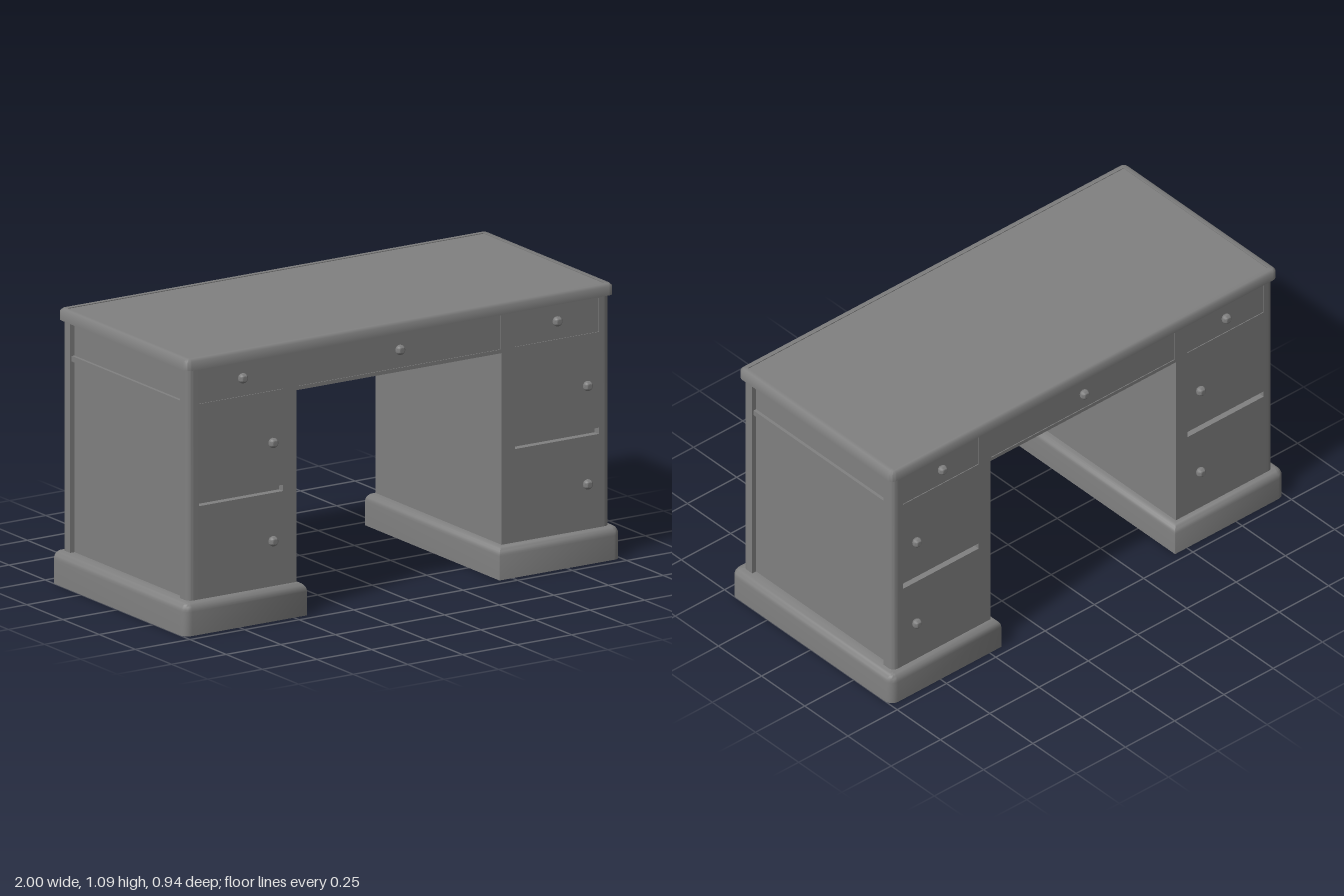
import * as THREE from 'three';
import { toCreasedNormals } from 'three/addons/utils/BufferGeometryUtils.js';

const grey = new THREE.MeshStandardMaterial({ color: 0x808080 });
const greyDouble = new THREE.MeshStandardMaterial({ color: 0x808080, side: THREE.DoubleSide });

function add(parent, name, geometry, material = grey) {
  const mesh = new THREE.Mesh(geometry, material);
  mesh.name = name;
  parent.add(mesh);
  return mesh;
}

// Box given by its limits on each axis
function box(parent, name, x0, x1, y0, y1, z0, z1) {
  const mesh = add(parent, name, new THREE.BoxGeometry(x1 - x0, y1 - y0, z1 - z0));
  mesh.position.set((x0 + x1) / 2, (y0 + y1) / 2, (z0 + z1) / 2);
  return mesh;
}

function rectPath(x0, x1, y0, y1) {
  return new THREE.Path([[x0, y0], [x1, y0], [x1, y1], [x0, y1]].map(p => new THREE.Vector2(...p)));
}

// Rounded rectangle in plan, with its own corner radius at the x0 and x1 ends
function ring(x0, x1, z, r0, r1, inset) {
  const points = [];
  const corners = [[1, -1, r1, -0.5], [1, 1, r1, 0], [-1, 1, r0, 0.5], [-1, -1, r0, 1]];
  for (const [sx, sz, radius, start] of corners) {
    const r = Math.max(radius - inset, 0.002);
    const cx = sx > 0 ? x1 - inset - r : x0 + inset + r;
    const cz = sz * (z - inset - r);
    for (let i = 0; i <= 6; i++) {
      const a = (start + i / 12) * Math.PI;
      points.push([cx + r * Math.cos(a), cz + r * Math.sin(a)]);
    }
  }
  return points;
}

// Surface through inset rings; profile is a list of [inset, y]
function loft(profile, ringAt, crease) {
  const positions = [], index = [];
  const n = ringAt(0).length;
  profile.forEach(([inset, y], k) => {
    for (const [x, z] of ringAt(inset)) positions.push(x, y, z);
    if (k === 0) return;
    for (let i = 0; i < n; i++) {
      const j = (i + 1) % n, a = (k - 1) * n, b = k * n;
      index.push(a + i, b + i, a + j, a + j, b + i, b + j);
    }
  });
  const g = new THREE.BufferGeometry();
  g.setAttribute('position', new THREE.Float32BufferAttribute(positions, 3));
  g.setIndex(index);
  return toCreasedNormals(g, crease);
}

// Hollow plinth shell with a rounded shoulder
function plinthGeometry() {
  const profile = [[0, 0], [0, 0.095]];
  for (let i = 1; i <= 6; i++) {
    const a = (i / 6) * Math.PI / 2;
    profile.push([0.03 * (1 - Math.cos(a)), 0.095 + 0.035 * Math.sin(a)]);
  }
  profile.push([0.06, 0.13]);
  return loft(profile, inset => ring(0.44, 1, 0.465, 0.002, 0.035, inset), 0.7);
}

// Upright with one rounded outer corner
function postGeometry() {
  const s = new THREE.Shape();
  const r = 0.025;
  s.moveTo(0.92, 0.38);
  s.lineTo(0.965, 0.38);
  s.absarc(0.965 - r, 0.435 - r, r, 0, Math.PI / 2);
  s.lineTo(0.92, 0.435);
  s.closePath();
  const g = new THREE.ExtrudeGeometry(s, { depth: 0.915, bevelEnabled: false, curveSegments: 8 });
  g.rotateX(-Math.PI / 2);
  g.translate(0, 0.13, 0);
  return toCreasedNormals(g, 0.7);
}

// Pedestal on the +x side; the drawer boxes run from d0 to d1
function pedestal(d0, d1) {
  const g = new THREE.Group();
  add(g, 'plinth', plinthGeometry(), greyDouble);
  box(g, 'innerWall', 0.47, 0.5, 0.13, 0.89, -0.406, 0.406);
  box(g, 'sidePanel', 0.925, 0.945, 0.13, 1.045, -0.382, 0.382);
  box(g, 'sideRail', 0.92, 0.958, 0.888, 0.91, -0.382, 0.382);

  // The post shape sits on the -z corner and is flipped over for the other
  const post = postGeometry();
  add(g, 'backPost', post);
  const front = add(g, 'frontPost', post);
  front.rotation.x = Math.PI;
  front.position.y = 0.13 + 1.045;

  // Drawer boxes opening to both faces, with a gap between them
  box(g, 'frontDrawerBox', d0, d1, 0.135, 0.89, 0.02, 0.406);
  box(g, 'backDrawerBox', d0, d1, 0.135, 0.89, -0.406, -0.02);
  return g;
}

// Knob: short stem and a nearly round head, axis along +z
function knobGeometry() {
  const profile = [[0, 0], [0.009, 0], [0.009, 0.006]];
  for (let i = 0; i <= 10; i++) {
    const a = -0.75 + (i / 10) * (0.75 + Math.PI / 2);
    profile.push([Math.max(0.02 * Math.cos(a), 0), 0.015 + 0.018 * Math.sin(a)]);
  }
  const g = new THREE.LatheGeometry(profile.map(p => new THREE.Vector2(...p)), 16);
  g.rotateX(Math.PI / 2);
  return toCreasedNormals(g, 0.8);
}

// One long face: frame, slightly recessed top drawers, slots and knobs
function facade(lowerKnobXs) {
  const g = new THREE.Group();
  const outline = new THREE.Shape([
    [-0.92, 0.13], [-0.47, 0.13], [-0.47, 0.89], [0.47, 0.89],
    [0.47, 0.13], [0.92, 0.13], [0.92, 1.045], [-0.92, 1.045],
  ].map(p => new THREE.Vector2(...p)));
  const drawers = [[-0.915, -0.53], [-0.465, 0.465], [0.53, 0.915]];
  for (const [x0, x1] of drawers) outline.holes.push(rectPath(x0, x1, 0.905, 1.04));
  for (const [x0, x1] of [drawers[0], drawers[2]]) outline.holes.push(rectPath(x0, x1, 0.5, 0.525));
  const frame = add(g, 'faceFrame', new THREE.ExtrudeGeometry(outline, { depth: 0.03, bevelEnabled: false }));
  frame.position.z = 0.405;

  for (const [x0, x1] of drawers) box(g, 'topDrawerFront', x0, x1, 0.905, 1.04, 0.4, 0.432);
  // Backing behind each slot
  for (const x of [-0.72, 0.72]) box(g, 'slotBack', x - 0.2, x + 0.2, 0.48, 0.545, 0.395, 0.406);

  const knob = knobGeometry();
  const spots = [-0.72, 0, 0.72].map(x => [x, 0.979, 0.429]);
  for (const x of lowerKnobXs) for (const y of [0.703, 0.313]) spots.push([x, y, 0.435]);
  for (const spot of spots) add(g, 'knob', knob).position.set(...spot);
  return g;
}

export function createModel() {
  const desk = new THREE.Group();
  desk.name = 'pedestalDesk';

  // Left pedestal and front face, then the other two by a half turn
  const parts = [
    ['leftPedestal', pedestal(0.56, 0.92), 0],
    ['rightPedestal', pedestal(0.5, 0.86), Math.PI],
    ['frontFace', facade([-0.585, 0.855]), 0],
    ['backFace', facade([0.585, -0.855]), Math.PI],
  ];
  for (const [name, part, turn] of parts) {
    part.name = name;
    part.rotation.y = turn;
    desk.add(part);
  }
  box(desk, 'drawerCase', -0.93, 0.93, 0.89, 1.045, -0.406, 0.406);

  // Table top: softly chamfered rim around a barely sunken writing surface
  const rimProfile = [[0.06, 1.045], [0, 1.045], [0, 1.08], [0.01, 1.09], [0.028, 1.09], [0.028, 1.08]];
  add(desk, 'topRim', loft(rimProfile, inset => ring(-0.98, 0.98, 0.445, 0.025, 0.025, inset), 0.9));
  box(desk, 'writingSurface', -0.953, 0.953, 1.046, 1.087, -0.418, 0.418);
  return desk;
}
